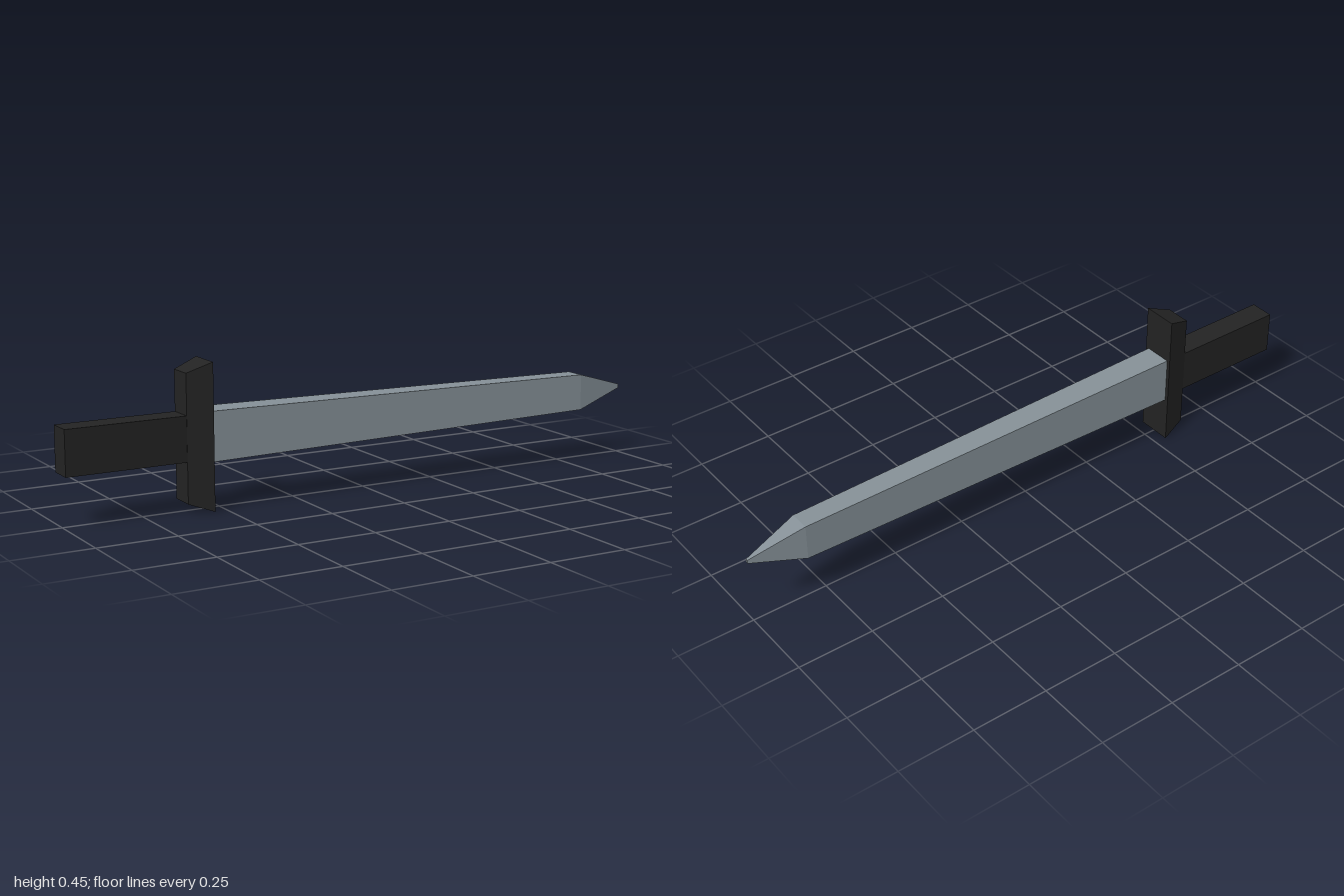
import * as THREE from 'three';

const MID_Y = 0.226;

// Box along x whose rectangular cross-section follows stations of [x, halfHeight, halfDepth]
function loftedBar(name, stations, material) {
  const geometry = new THREE.BoxGeometry(1, 2, 2, stations.length - 1, 1, 1);
  const pos = geometry.attributes.position;
  for (let i = 0; i < pos.count; i++) {
    const k = Math.round((pos.getX(i) + 0.5) * (stations.length - 1));
    const [x, halfHeight, halfDepth] = stations[k];
    pos.setXYZ(i, x, MID_Y + pos.getY(i) * halfHeight, pos.getZ(i) * halfDepth);
  }
  // Separate the faces so that every plane stays crisp
  const flat = geometry.toNonIndexed();
  flat.computeVertexNormals();
  const mesh = new THREE.Mesh(flat, material);
  mesh.name = name;
  return mesh;
}

export function createModel() {
  const steel = new THREE.MeshStandardMaterial({ color: 0x869198 });
  steel.name = 'steel grey';
  const black = new THREE.MeshStandardMaterial({ color: 0x232323 });
  black.name = 'grip black';

  const sword = new THREE.Group();
  sword.name = 'sword';
  sword.add(
    // Straight rectangular grip
    loftedBar('handle', [[-1, 0.07, 0.04], [-0.62, 0.07, 0.04]], black),
    // Crossguard flaring toward the blade
    loftedBar('crossguard', [[-0.62, 0.197, 0.041], [-0.54, 0.226, 0.058]], black),
    // Tapering blade with a blunt pyramidal tip
    loftedBar('blade', [[-0.54, 0.077, 0.046], [0.82, 0.059, 0.034], [1, 0.006, 0.004]], steel),
  );
  return sword;
}
